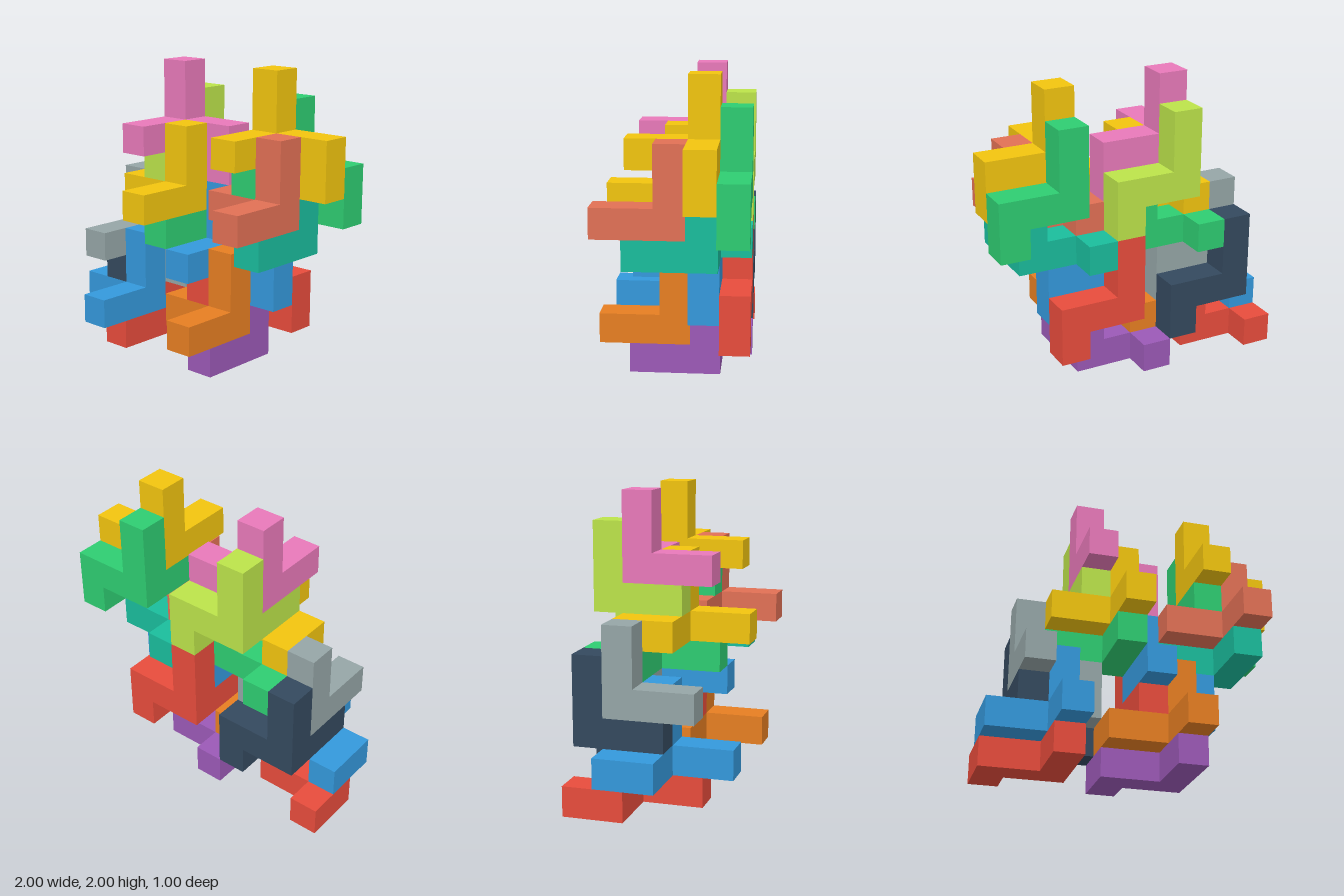
import * as THREE from 'three';
import { mergeGeometries } from 'three/addons/utils/BufferGeometryUtils.js';

const U = 0.2; // edge of one cube

// Eight-cube piece, origin at the centre of its corner cube:
// a flat hooked L (two up, two sideways, one down) plus a two-cube arm forward.
function pieceGeometry() {
  const outline = [
    [-0.5, -0.5], [1.5, -0.5], [1.5, -1.5], [2.5, -1.5],
    [2.5, 0.5], [0.5, 0.5], [0.5, 2.5], [-0.5, 2.5],
  ].map(([x, y]) => new THREE.Vector2(x * U, y * U));
  const hook = new THREE.ExtrudeGeometry(new THREE.Shape(outline), { depth: U, bevelEnabled: false });
  hook.translate(0, 0, -U / 2);
  const arm = new THREE.BoxGeometry(U, U, 2 * U).toNonIndexed();
  arm.translate(0, 0, 1.5 * U);
  return mergeGeometries([hook, arm]);
}

// name, colour, corner cell (column, level, row from the back)
const UPRIGHT = [
  ['navyPiece', 0x34495e, 1, 2, 0], ['greyPiece', 0x95a5a6, 1, 3, 1],
  ['middleRedPiece', 0xe74c3c, 5, 2, 0], ['middleBluePiece', 0x3498db, 5, 3, 1],
  ['limePiece', 0xbbe34a, 3, 6, 0], ['pinkPiece', 0xe879b9, 3, 7, 1],
  ['topGreenPiece', 0x2ecc71, 7, 6, 0], ['topGoldPiece', 0xf1c40f, 7, 7, 1],
];
const FLIPPED = [
  ['bottomRedPiece', 0xe74c3c, 2, 0, 1], ['lowerBluePiece', 0x3498db, 2, 1, 2],
  ['purplePiece', 0x9b59b6, 6, 0, 1], ['orangePiece', 0xe67e22, 6, 1, 2],
  ['middleGreenPiece', 0x2ecc71, 4, 4, 1], ['middleGoldPiece', 0xf1c40f, 4, 5, 2],
  ['tealPiece', 0x1abc9c, 8, 4, 1], ['salmonPiece', 0xe17055, 8, 5, 2],
];

export function createModel() {
  const model = new THREE.Group();
  model.name = 'interlockingPieces';
  const geometry = pieceGeometry();

  // Half turn that swaps up and forward and reverses sideways
  const halfTurn = new THREE.Quaternion().setFromAxisAngle(new THREE.Vector3(0, 1, 1).normalize(), Math.PI);

  const place = ([name, color, i, j, k], flipped) => {
    const piece = new THREE.Mesh(geometry, new THREE.MeshStandardMaterial({ color }));
    piece.name = name;
    piece.position.set((i - 4.5) * U, (j + 0.5) * U, (k - 2) * U);
    if (flipped) piece.quaternion.copy(halfTurn);
    model.add(piece);
  };
  UPRIGHT.forEach((p) => place(p, false));
  FLIPPED.forEach((p) => place(p, true));
  return model;
}
